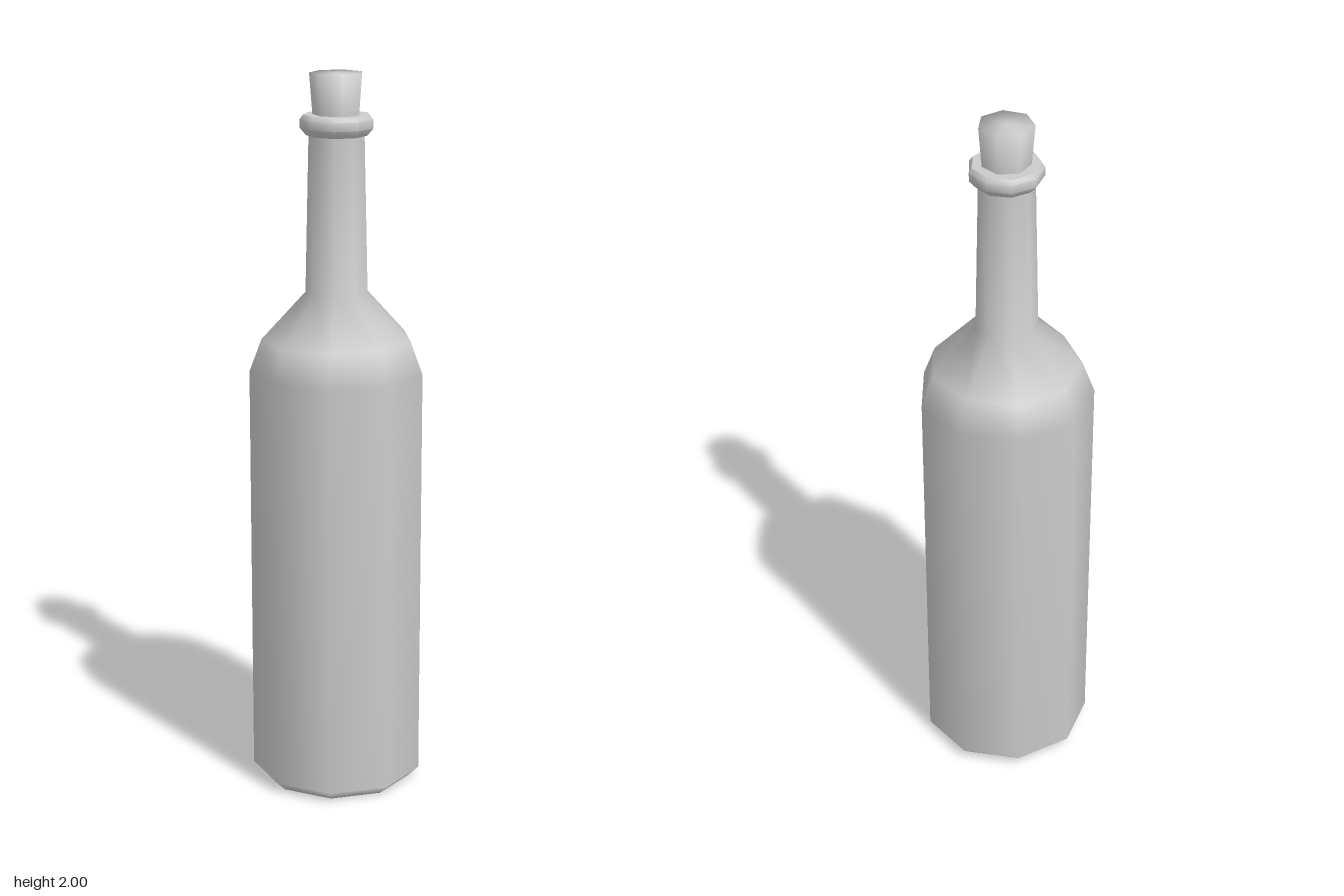
import * as THREE from 'three';
import { toCreasedNormals } from 'three/addons/utils/BufferGeometryUtils.js';

const material = new THREE.MeshStandardMaterial({ color: 0xcccccc });

// Revolved part from [radius, y] points (bottom to top), first corner facing +x
function turned(name, sides, profile, creaseAngle) {
  const points = profile.map(([r, y]) => new THREE.Vector2(r, y));
  let geometry = new THREE.LatheGeometry(points, sides, Math.PI / 2);
  if (creaseAngle) geometry = toCreasedNormals(geometry, creaseAngle);
  const mesh = new THREE.Mesh(geometry, material);
  mesh.name = name;
  return mesh;
}

export function createModel() {
  const bottle = new THREE.Group();
  bottle.name = 'bottle';

  // Flat underside
  bottle.add(turned('base', 9, [[0, 0], [0.21, 0]]));

  // Smooth glass: bevelled foot, straight wall, shoulder and neck
  bottle.add(turned('body', 9, [
    [0.21, 0], [0.241, 0.03], [0.241, 1.19], [0.207, 1.28],
    [0.086, 1.41], [0.076, 1.845],
  ]));

  // Sharp-edged lip around the mouth
  bottle.add(turned('lip', 9, [
    [0.07, 1.835], [0.083, 1.835], [0.1, 1.855], [0.1, 1.878], [0.091, 1.89], [0.05, 1.89],
  ], 0.72));

  // Tapered stopper, softly shaded over its top edge
  bottle.add(turned('cork', 7, [[0.064, 1.87], [0.074, 2], [0, 2]]));

  // The odd-sided rings reach further on +x, so shift to centre the bounds
  bottle.children.forEach((part) => { part.position.x = -0.008; });
  return bottle;
}
